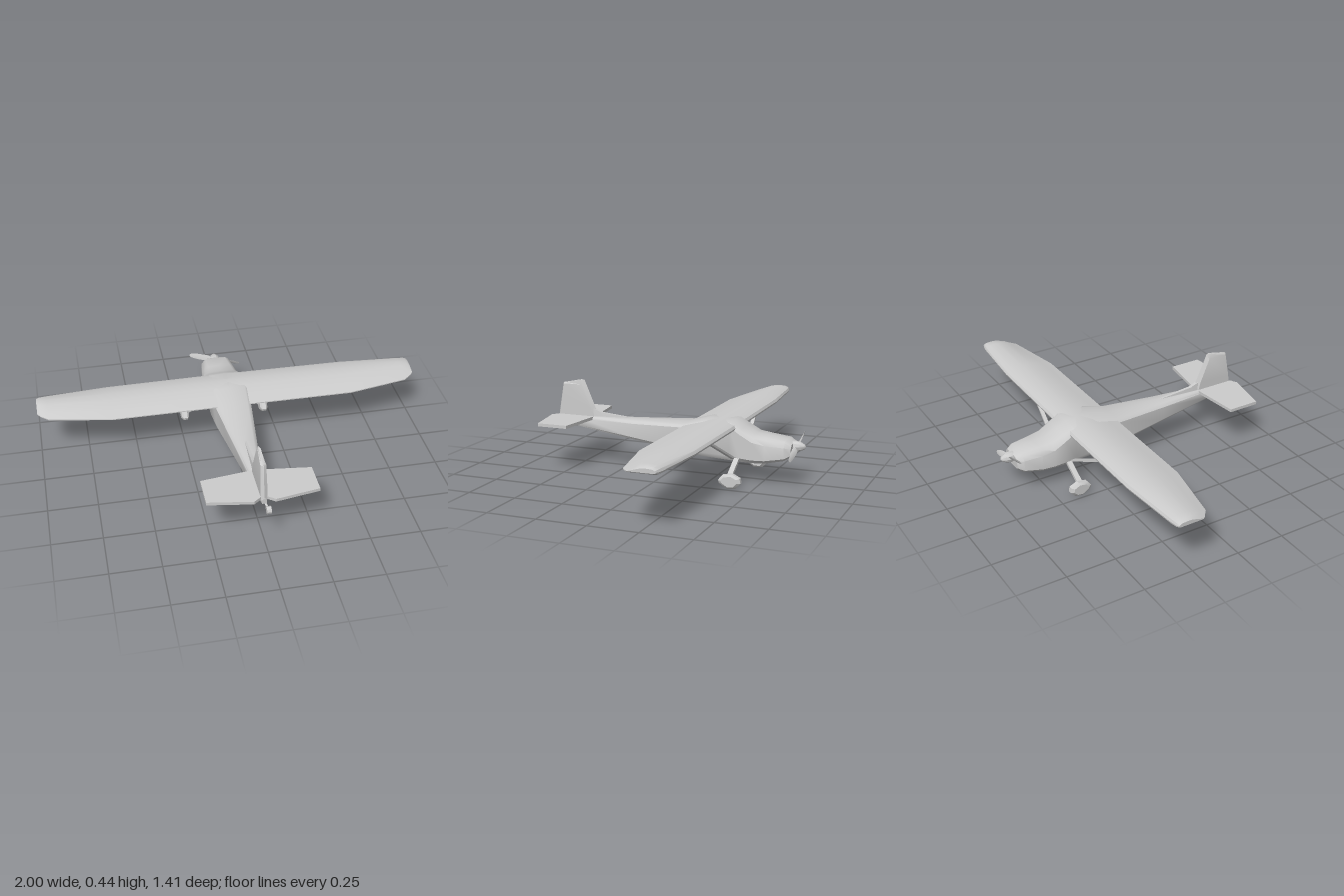
import * as THREE from 'three';
import { toCreasedNormals } from 'three/addons/utils/BufferGeometryUtils.js';

const material = new THREE.MeshStandardMaterial({ color: 0xcccccc });

// Skin a row of equal-length rings of [x, y, z] points and cap both ends.
function loft(rings, crease = 0.5) {
  const n = rings[0].length;
  const points = rings.flat().map((p) => new THREE.Vector3(...p));
  let tris = [];
  for (let r = 0; r < rings.length - 1; r++) {
    for (let i = 0; i < n; i++) {
      const a = r * n + i, b = r * n + (i + 1) % n;
      tris.push([a, b, b + n], [a, b + n, a + n]);
    }
  }
  const last = (rings.length - 1) * n;
  for (let i = 1; i < n - 1; i++) {
    tris.push([0, i + 1, i], [last, last + i, last + i + 1]);
  }
  // A negative enclosed volume means the faces point inward.
  const cross = new THREE.Vector3();
  const volume = tris.reduce((sum, [a, b, c]) =>
    sum + points[a].dot(cross.crossVectors(points[b], points[c])), 0);
  if (volume < 0) tris = tris.map(([a, b, c]) => [a, c, b]);
  const geometry = new THREE.BufferGeometry().setFromPoints(points);
  geometry.setIndex(tris.flat());
  return toCreasedNormals(geometry, crease);
}

// Flat bar of width w (along z) and thickness t between two points.
function bar(from, to, w, t) {
  const a = new THREE.Vector3(...from), b = new THREE.Vector3(...to);
  const side = new THREE.Vector3().subVectors(b, a).cross(new THREE.Vector3(0, 0, 1)).normalize();
  const ring = (p) => [[1, 1], [1, -1], [-1, -1], [-1, 1]].map(([s, f]) =>
    [p.x + side.x * s * t / 2, p.y + side.y * s * t / 2, p.z + f * w / 2]);
  return loft([ring(a), ring(b)]);
}

export function createModel() {
  const model = new THREE.Group();
  const add = (name, geometry, parent = model) => {
    const mesh = new THREE.Mesh(geometry, material);
    mesh.name = name;
    parent.add(mesh);
    return mesh;
  };

  // Fuselage stations: z, bottom, top, half width, flat share of the roof, shoulder drop
  const stations = [
    [-0.645, 0.147, 0.207, 0.062, 0.7, 0.02],
    [-0.615, 0.128, 0.224, 0.082, 0.65, 0.03],
    [-0.52, 0.108, 0.234, 0.093, 0.65, 0.035],
    [-0.455, 0.105, 0.241, 0.097, 0.7, 0.03],
    [-0.395, 0.107, 0.27, 0.1, 0.75, 0.025],
    [-0.34, 0.11, 0.298, 0.1, 0.8, 0.016],
    [-0.2, 0.117, 0.298, 0.1, 0.8, 0.014],
    [-0.09, 0.128, 0.269, 0.092, 0.8, 0.014],
    [0.2, 0.16, 0.258, 0.06, 0.7, 0.015],
    [0.495, 0.193, 0.251, 0.028, 0.6, 0.014],
    [0.65, 0.219, 0.246, 0.012, 0.6, 0.008],
  ];
  add('fuselage', loft(stations.map(([z, bottom, top, w, f, d]) => {
    const c = (top - bottom) * 0.12;
    const half = [[0.86, bottom], [1, bottom + c], [1, top - d], [(1 + f) / 2, top - d * 0.3], [f, top]];
    return [
      ...half.map(([x, y]) => [x * w, y, z]),
      [0, top + 0.003, z],
      ...half.reverse().map(([x, y]) => [-x * w, y, z]),
    ];
  }), 0.6));

  // Wing: flat-bottomed airfoil given as share of chord and share of thickness
  const airfoil = [[0, 0.35], [0.03, 0.65], [0.13, 0.92], [0.35, 1.02], [0.55, 0.95],
    [0.8, 0.5], [1, 0.13], [1, 0], [0.06, 0], [0.01, 0.13]];
  // Half-span stations: x, leading z, trailing z, base y, thickness
  const halfWing = [
    [0, -0.37, -0.093, 0.259, 0.042],
    [0.63, -0.365, -0.092, 0.259, 0.04],
    [0.945, -0.34, -0.152, 0.26, 0.038],
    [0.985, -0.334, -0.185, 0.262, 0.034],
    [1, -0.328, -0.2, 0.269, 0.02],
  ];
  const span = [...halfWing.slice(1).reverse().map(([x, ...rest]) => [-x, ...rest]), ...halfWing];
  add('wing', loft(span.map(([x, lead, trail, y, t]) =>
    airfoil.map(([u, v]) => [x, y + v * t, lead + u * (trail - lead)]))));

  // Tail plane, one panel per side, and the fin with its long fillet
  for (const s of [1, -1]) {
    const outline = [[0, 0.44], [0.03, 0.44], [0.272, 0.47], [0.272, 0.632], [0.052, 0.668], [0, 0.63]];
    add(s > 0 ? 'leftTailplane' : 'rightTailplane',
      loft([0.238, 0.254].map((y) => outline.map(([x, z]) => [s * x, y, z]))));
  }
  // Fin ribs: y, leading z, trailing z, half thickness
  const fin = [
    [0.235, 0.42, 0.652, 0.017],
    [0.295, 0.435, 0.643, 0.017],
    [0.418, 0.488, 0.622, 0.014],
    [0.443, 0.498, 0.618, 0.008],
  ];
  add('fin', loft(fin.map(([y, lead, trail, w], i) => {
    const rear = i === 3 ? 0.424 : y;
    return [[0, y, lead], [w, y, lead + 0.02], [w, rear, trail - 0.01], [0, rear, trail],
      [-w, rear, trail - 0.01], [-w, y, lead + 0.02]];
  })));
  const fillet = [[0.2, 0.259, 0.008], [0.325, 0.27, 0.012], [0.4, 0.277, 0.014], [0.46, 0.3, 0.015]];
  add('finFillet', loft(fillet.map(([z, y, w]) =>
    [[-w, 0.24, z], [w, 0.24, z], [w * 0.6, y, z], [-w * 0.6, y, z]])));

  // Tail wheel on its short spring
  add('tailSpring', bar([0, 0.225, 0.6], [0.012, 0.208, 0.678], 0.012, 0.01));
  const tailWheel = add('tailWheel', new THREE.CylinderGeometry(0.019, 0.019, 0.022, 8));
  tailWheel.geometry = toCreasedNormals(tailWheel.geometry, 0.5);
  tailWheel.rotation.z = Math.PI / 2;
  tailWheel.position.set(0.014, 0.205, 0.682);

  // Main gear and wing struts on both sides
  const pantOutline = [[-0.33, 0.045], [-0.35, 0.07], [-0.4, 0.079], [-0.44, 0.06],
    [-0.445, 0.035], [-0.418, 0.008], [-0.375, 0.004], [-0.333, 0.032]];
  const pantLayers = [[-0.02, 0.72], [-0.01, 1], [0.01, 1], [0.02, 0.72]];
  for (const s of [1, -1]) {
    const side = s > 0 ? 'left' : 'right';
    add(side + 'WheelFairing', loft(pantLayers.map(([x, k]) => pantOutline.map(([z, y]) =>
      [s * (0.218 + x), 0.041 + (y - 0.041) * k, -0.387 + (z + 0.387) * k]))));
    add(side + 'GearLeg', bar([s * 0.07, 0.135, -0.38], [s * 0.215, 0.05, -0.38], 0.026, 0.016));
    add(side + 'WingStrut', bar([s * 0.09, 0.122, -0.36], [s * 0.37, 0.264, -0.325], 0.02, 0.01));
  }

  // Spinner and two twisted, tapered propeller blades
  const propeller = new THREE.Group();
  propeller.name = 'propeller';
  propeller.position.set(0, 0.19, -0.66);
  propeller.rotation.z = -0.3;
  model.add(propeller);
  const spinner = new THREE.LatheGeometry(
    [[0, 0.045], [0.012, 0.038], [0.023, 0.018], [0.028, -0.005], [0.026, -0.025], [0, -0.025]]
      .reverse().map(([r, y]) => new THREE.Vector2(r, y)), 10);
  spinner.rotateX(-Math.PI / 2);
  add('spinner', toCreasedNormals(spinner, 0.6), propeller);
  // Blade stations: radius, half chord, half thickness, pitch angle
  const blade = [[0.01, 0.008, 0.005, 0.9], [0.045, 0.016, 0.004, 0.75],
    [0.1, 0.015, 0.003, 0.5], [0.14, 0.009, 0.002, 0.35], [0.148, 0.003, 0.001, 0.3]];
  for (const turn of [0, Math.PI]) {
    const mesh = add('blade', loft(blade.map(([r, c, t, a]) =>
      [[c, 0], [0, t], [-c, 0], [0, -t]].map(([u, v]) =>
        [r, u * Math.cos(a) - v * Math.sin(a), u * Math.sin(a) + v * Math.cos(a)]))), propeller);
    mesh.rotation.z = turn;
  }

  return model;
}
